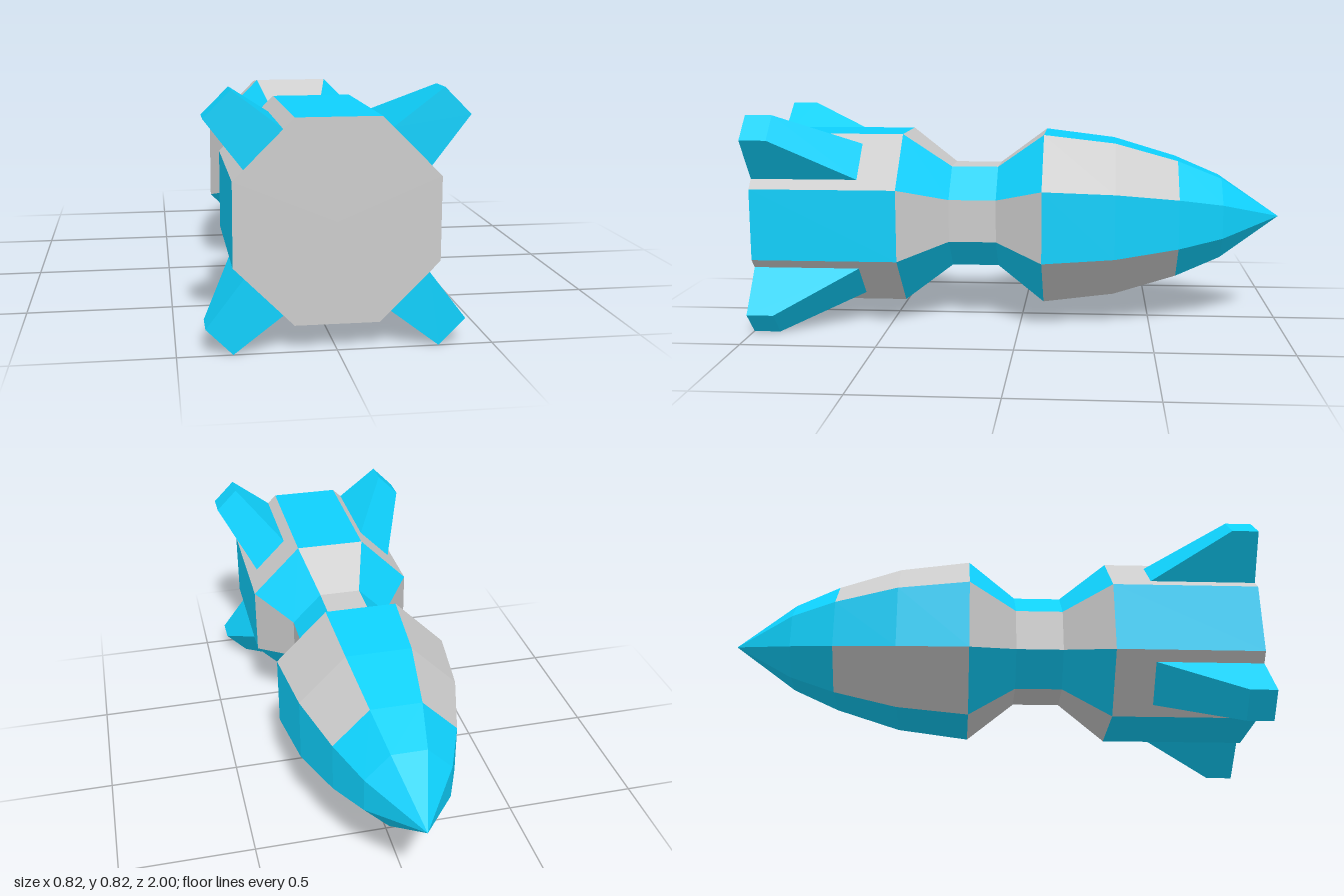
import * as THREE from 'three';

const CENTRE_Y = 0.41;
const SIDES = 8;
const grey = new THREE.MeshStandardMaterial({ color: 0xcccccc, flatShading: true });
const blue = new THREE.MeshStandardMaterial({ color: 0x0ed0fc, flatShading: true });

// Corner k of the octagon with the given apothem, at depth z
function corner(apothem, z, k) {
  const r = apothem / Math.cos(Math.PI / SIDES);
  const a = (k - 0.5) * 2 * Math.PI / SIDES;
  return [r * Math.cos(a), r * Math.sin(a), z];
}

// Every second panel of a hull section; rings are [z, apothem] from front to back.
// parity 0 gives the top, bottom and side panels, parity 1 the diagonal ones.
function panels(name, rings, parity, material) {
  const pos = [];
  for (let k = parity; k < SIDES; k += 2) {
    for (let i = 0; i < rings.length - 1; i++) {
      const [z1, r1] = rings[i], [z0, r0] = rings[i + 1];
      const a = corner(r1, z1, k), b = corner(r1, z1, k + 1);
      const c = corner(r0, z0, k + 1), d = corner(r0, z0, k);
      pos.push(...a, ...d, ...b);
      if (r0 > 0) pos.push(...b, ...d, ...c);
    }
  }
  const geo = new THREE.BufferGeometry();
  geo.setAttribute('position', new THREE.Float32BufferAttribute(pos, 3));
  geo.computeVertexNormals();
  const mesh = new THREE.Mesh(geo, material);
  mesh.name = name;
  return mesh;
}

// Tapered fin pointing along +y: long wide root, short narrow tip
function finGeometry() {
  const geo = new THREE.BoxGeometry(1, 1, 1);
  const p = geo.attributes.position;
  for (let i = 0; i < p.count; i++) {
    const tip = p.getY(i) > 0;
    const x = Math.sign(p.getX(i)) * (tip ? 0.06 : 0.086);
    const z = p.getZ(i) > 0 ? 1 : (tip ? 0.9 : 0.6);
    p.setXYZ(i, x, tip ? 0.52 : 0.325, z);
  }
  geo.computeVertexNormals();
  return geo;
}

export function createModel() {
  const model = new THREE.Group();
  model.name = 'rocket';
  const hull = new THREE.Group();
  hull.name = 'hull';
  hull.position.y = CENTRE_Y;
  model.add(hull);

  // Hull sections: [name, rings, cardinal panel material, diagonal panel material]
  const sections = [
    ['tail', [[1, 0.325], [0.45, 0.325]], blue, grey],
    ['waist', [[0.45, 0.325], [0.27, 0.195], [0.09, 0.195], [-0.09, 0.325]], grey, blue],
    ['noseBase', [[-0.09, 0.325], [-0.36, 0.293], [-0.6, 0.224]], blue, grey],
    ['noseTip', [[-0.6, 0.224], [-0.77, 0.154], [-1, 0]], blue, blue],
  ];
  for (const [name, rings, straight, diagonal] of sections) {
    hull.add(panels(name + 'StraightPanels', rings, 0, straight));
    hull.add(panels(name + 'DiagonalPanels', rings, 1, diagonal));
  }

  // Flat end of the tail
  const cap = new THREE.Mesh(
    new THREE.CircleGeometry(0.325 / Math.cos(Math.PI / SIDES), SIDES, Math.PI / SIDES), grey);
  cap.name = 'tailCap';
  cap.position.z = 1;
  hull.add(cap);

  // Four fins on the diagonal panels
  const geo = finGeometry();
  for (let i = 0; i < 4; i++) {
    const fin = new THREE.Mesh(geo, blue);
    fin.name = 'fin' + (i + 1);
    fin.rotation.z = Math.PI / 4 + i * Math.PI / 2;
    hull.add(fin);
  }
  return model;
}
